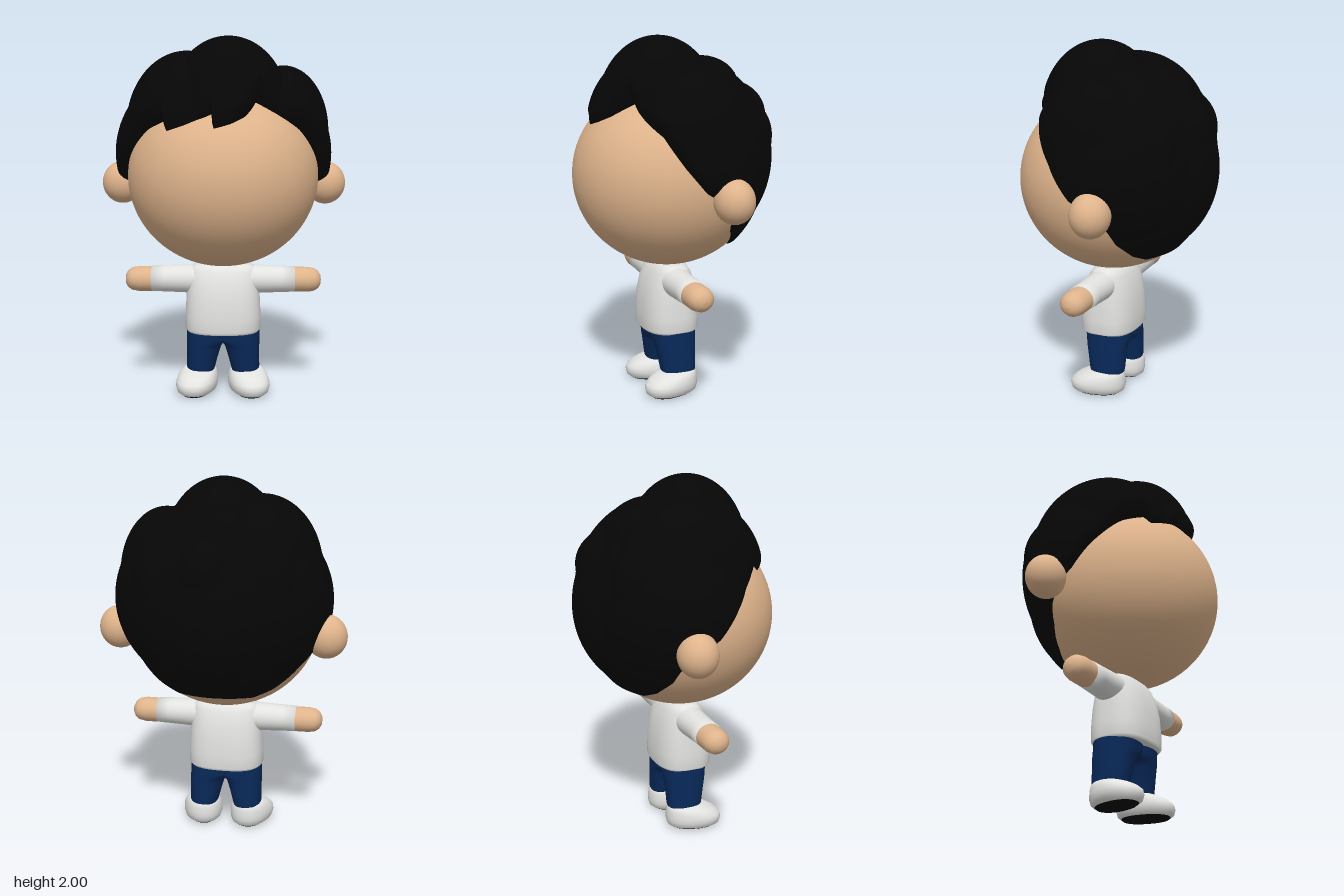
import * as THREE from 'three';

const mat = (name, color) => Object.assign(new THREE.MeshStandardMaterial({ color }), { name });

// Smooth surface through a grid of points; columns wrap around
function gridGeometry(rows, cols, pointAt) {
  const pos = [], idx = [];
  for (let i = 0; i <= rows; i++) {
    for (let j = 0; j < cols; j++) pos.push(...pointAt(i, j));
  }
  for (let i = 0; i < rows; i++) {
    for (let j = 0; j < cols; j++) {
      const k = (j + 1) % cols, a = i * cols, b = a + cols;
      idx.push(a + j, b + j, a + k, b + j, b + k, a + k);
    }
  }
  const g = new THREE.BufferGeometry();
  g.setAttribute('position', new THREE.Float32BufferAttribute(pos, 3));
  g.setIndex(idx);
  g.computeVertexNormals();
  return g;
}

// Stack of rounded rings, bottom to top: [y, halfX, halfZ, centreX, centreZ]
function loft(rings, power = 2, cols = 48) {
  const first = rings[0], last = rings[rings.length - 1];
  const point = (r) => [r[0], 0, 0, r[3], r[4]];
  const all = [point(first), first, ...rings, last, point(last)];
  const round = (v) => Math.sign(v) * Math.abs(v) ** (2 / power);
  return gridGeometry(all.length - 1, cols, (i, j) => {
    const a = (j / cols) * Math.PI * 2;
    const [y, rx, rz, cx, cz] = all[i];
    return [cx + rx * round(Math.cos(a)), y, cz + rz * round(Math.sin(a))];
  });
}

const lathe = (points) =>
  new THREE.LatheGeometry(points.map(([r, y]) => new THREE.Vector2(r, y)), 36);

// Head and hair volumes: [centre], [radii]
const ORIGIN = [0, 1.24, 0];
const HEAD = [[0, 1.24, 0.04], [0.525, 0.505, 0.52]];
const HAIR = [
  [[0, 1.355, -0.045], [0.602, 0.535, 0.475]],  // main mass
  [[0, 1.32, -0.1], [0.4, 0.5, 0.458]],         // back of the head
  [[-0.2, 1.5, 0], [0.335, 0.42, 0.42]],        // right sweep
  [[0.01, 1.5, 0.1], [0.28, 0.42, 0.385]],      // fringe
  [[0.03, 1.6, 0.1], [0.33, 0.4, 0.33]],        // crown tuft
  [[0.33, 1.48, 0], [0.25, 0.36, 0.32]],        // left sweep
  [[0.03, 1.55, -0.3], [0.18, 0.2, 0.235]],     // locks on the back
  [[-0.05, 1.71, -0.18], [0.2, 0.17, 0.22]],
  [[-0.28, 1.5, -0.24], [0.17, 0.22, 0.21]],
  [[0.28, 1.47, -0.24], [0.17, 0.22, 0.21]],
];

// Hairline from the nape, past the right ear, over the brow and round to the nape
const side = [[0.2, 0.825, -0.25], [0.32, 0.845, -0.235], [0.46, 0.94, -0.19],
  [0.51, 1.05, -0.16], [0.56, 1.15, -0.08], [0.55, 1.22, 0.025], [0.51, 1.35, 0.13]];
const HAIRLINE = [
  ...side.map(([x, y, z]) => [-x, y, z]),
  [-0.44, 1.49, 0.24], [-0.41, 1.53, 0.27], [-0.31, 1.6, 0.36], [-0.295, 1.51, 0.38],
  [-0.2, 1.55, 0.43], [-0.055, 1.65, 0.46], [-0.045, 1.525, 0.47], [0.05, 1.56, 0.46],
  [0.13, 1.61, 0.43], [0.21, 1.735, 0.34], [0.3, 1.615, 0.3], [0.42, 1.51, 0.22],
  ...side.reverse(),
].map(([x, y, z]) => [Math.atan2(x, z), Math.atan2(y - ORIGIN[1], Math.hypot(x, z))]);

// Distance from the origin point to the far side of an ellipsoid
function reach(dir, [c, r]) {
  let a = 0, b = 0, d = -1;
  for (let k = 0; k < 3; k++) {
    const u = dir[k] / r[k], o = (ORIGIN[k] - c[k]) / r[k];
    a += u * u; b += u * o; d += o * o;
  }
  const q = b * b - a * d;
  return q < 0 ? 0 : (-b + Math.sqrt(q)) / a;
}

function hairlineAt(az) {
  const n = HAIRLINE.length, turn = Math.PI * 2;
  const first = HAIRLINE[0], last = HAIRLINE[n - 1];
  const pts = [[last[0] - turn, last[1]], ...HAIRLINE, [first[0] + turn, first[1]]];
  for (let i = 0; i <= n; i++) {
    const [p, q] = [pts[i], pts[i + 1]];
    if (az <= q[0]) return p[1] + (q[1] - p[1]) * (az - p[0]) / (q[0] - p[0]);
  }
  return last[1];
}

function hairGeometry() {
  const rows = 72, cols = 300, roll = 0.11;
  return gridGeometry(rows, cols, (i, j) => {
    const az = -Math.PI + (j / cols) * Math.PI * 2;
    // Rows crowd towards the hairline, where the edge rolls in to the head
    const t = 1 - (1 - i / rows) ** 1.5;
    const edge = hairlineAt(az);
    const el = Math.PI / 2 + (edge - Math.PI / 2) * t;
    const dir = [Math.cos(el) * Math.sin(az), Math.sin(el), Math.cos(el) * Math.cos(az)];
    const inner = reach(dir, HEAD) * 0.98;
    const outer = Math.max(inner + 0.025, ...HAIR.map((e) => reach(dir, e)));
    const e = Math.max(0, 1 - (el - edge) / roll);
    const r = inner + (outer - inner) * Math.sqrt(Math.max(0, 1 - e * e));
    return dir.map((v, k) => ORIGIN[k] + v * r);
  });
}

export function createModel() {
  const model = new THREE.Group();
  model.name = 'figure';
  const skin = mat('skin', 0xdfb48c);
  const black = mat('black', 0x060606);
  const white = mat('white', 0xe2e3e0);
  const denim = mat('denim', 0x08295a);

  const add = (name, geometry, material, position = [0, 0, 0]) => {
    const m = new THREE.Mesh(geometry, material);
    m.name = name;
    m.position.set(...position);
    model.add(m);
    return m;
  };
  const ball = (name, material, centre, radii, detail = 32) =>
    add(name, new THREE.SphereGeometry(1, detail * 2, detail), material, centre)
      .scale.set(...radii);

  ball('head', skin, ...HEAD, 48);
  add('hair', hairGeometry(), black);

  // Shirt body, widest at the hem
  add('shirt', loft([
    [0.36, 0.2, 0.15, 0, 0.042], [0.375, 0.212, 0.159, 0, 0.042],
    [0.45, 0.212, 0.159, 0, 0.042], [0.55, 0.207, 0.152, 0, 0.042],
    [0.64, 0.2, 0.133, 0, 0.04], [0.7, 0.192, 0.108, 0, 0.038],
    [0.727, 0.18, 0.09, 0, 0.037], [0.742, 0.14, 0.07, 0, 0.037],
  ], 2.6), white);

  for (const s of [-1, 1]) {
    const label = s > 0 ? 'left' : 'right';
    ball(label + 'Ear', skin, [s * 0.575, 1.18, -0.108], [0.114, 0.12, 0.108]);

    // Arm held straight out, the hand flush with the cuff
    const sleeve = add(label + 'Sleeve', lathe([
      [0.083, 0.08], [0.08, 0.18], [0.077, 0.25], [0.074, 0.33],
      [0.0715, 0.402], [0, 0.402],
    ]), white, [0, 0.652, 0.042]);
    const hand = add(label + 'Hand', lathe([
      [0.07, 0.385], [0.07, 0.42], [0.07, 0.475], [0.063, 0.513],
      [0.047, 0.535], [0.025, 0.547], [0, 0.55],
    ]), skin, [0, 0.65, 0.042]);
    sleeve.rotation.z = hand.rotation.z = -s * Math.PI / 2;
    sleeve.scale.z = hand.scale.z = 1.08;

    // Trouser legs merge above the crotch
    add(label + 'TrouserLeg', loft([
      [0.125, 0.077, 0.096, s * 0.126, 0.022], [0.14, 0.081, 0.1, s * 0.126, 0.022],
      [0.2, 0.088, 0.106, s * 0.118, 0.026], [0.26, 0.097, 0.112, s * 0.109, 0.03],
      [0.285, 0.103, 0.116, s * 0.103, 0.032], [0.3, 0.118, 0.119, s * 0.088, 0.033],
      [0.32, 0.128, 0.122, s * 0.078, 0.034], [0.4, 0.13, 0.125, s * 0.076, 0.038],
    ], 2.4), denim);

    // Shoe with toes turned out, low at the toe and high at the heel
    const shoe = add(label + 'Shoe', loft([
      [0.009, 0.088, 0.136, 0, 0], [0.022, 0.104, 0.152, 0, 0],
      [0.05, 0.113, 0.159, 0, 0], [0.075, 0.112, 0.155, 0, -0.003],
      [0.1, 0.106, 0.138, 0, -0.018], [0.12, 0.096, 0.116, 0, -0.036],
      [0.135, 0.081, 0.09, 0, -0.052], [0.142, 0.05, 0.058, 0, -0.06],
    ], 2.2), white, [s * 0.147, 0, 0.071]);
    const sole = add(label + 'Sole',
      loft([[0, 0.075, 0.123, 0, 0], [0.0095, 0.085, 0.133, 0, 0]], 2.2),
      black, [s * 0.147, 0, 0.071]);
    shoe.rotation.y = sole.rotation.y = s * 0.25;
  }
  return model;
}
